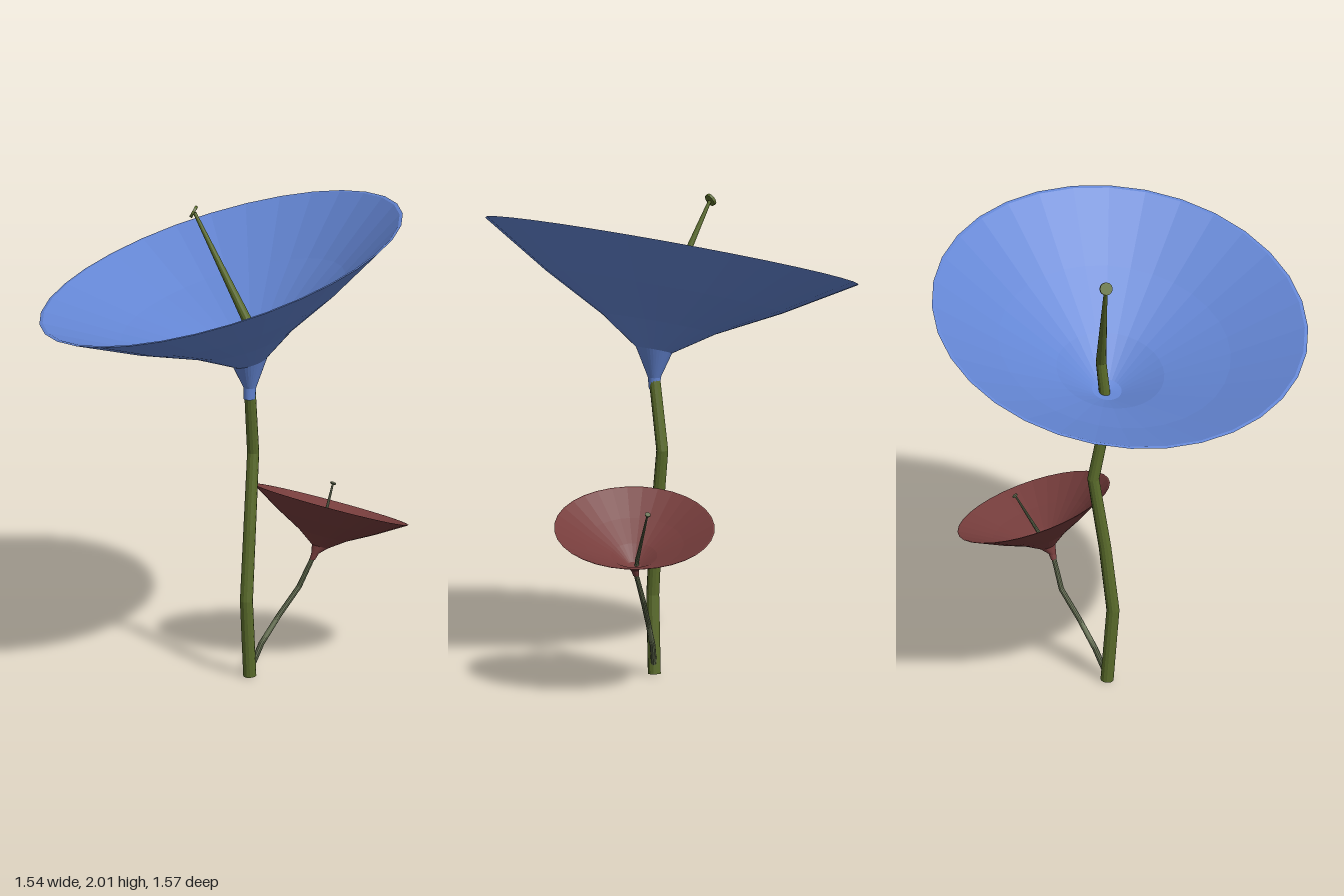
import * as THREE from 'three';

const V = (p) => new THREE.Vector3(...p);

// Skin a row of rings { c: centre, n: normal, r: radius } with flat facets.
function loft(rings, sides) {
  const loops = rings.map(({ c, n, r }) => {
    const u = new THREE.Vector3(1, 0, 0).addScaledVector(n, -n.x).normalize();
    const v = new THREE.Vector3().crossVectors(n, u);
    return Array.from({ length: sides }, (_, j) => {
      const a = (j / sides) * Math.PI * 2;
      return c.clone().addScaledVector(u, r * Math.cos(a)).addScaledVector(v, r * Math.sin(a));
    });
  });
  const pos = [];
  const tri = (a, b, c) => {
    if (a.distanceTo(b) > 1e-6 && b.distanceTo(c) > 1e-6 && a.distanceTo(c) > 1e-6) {
      pos.push(...a.toArray(), ...b.toArray(), ...c.toArray());
    }
  };
  for (let i = 0; i < loops.length - 1; i++) {
    for (let j = 0; j < sides; j++) {
      const k = (j + 1) % sides;
      tri(loops[i][j], loops[i][k], loops[i + 1][k]);
      tri(loops[i][j], loops[i + 1][k], loops[i + 1][j]);
    }
  }
  const g = new THREE.BufferGeometry();
  g.setAttribute('position', new THREE.Float32BufferAttribute(pos, 3));
  g.computeVertexNormals();
  return g;
}

// Tapered stem through points [x, y, z, radius], closed at both ends.
function stemGeometry(points, sides) {
  const cs = points.map((p) => V(p.slice(0, 3)));
  const last = cs.length - 1;
  const rings = cs.map((c, i) => {
    const n = new THREE.Vector3();
    if (i > 0) n.add(c.clone().sub(cs[i - 1]).normalize());
    if (i < last) n.add(cs[i + 1].clone().sub(c).normalize());
    return { c, n: n.normalize(), r: points[i][3] };
  });
  return loft([{ ...rings[0], r: 0 }, ...rings, { ...rings[last], r: 0 }], sides);
}

// Funnel bloom: outer wall, thin lip and inner wall; profile is [depth below rim, radius].
function bloomGeometry({ centre, axis, profile, neck, wall }) {
  const n = V(axis).normalize();
  const at = (depth) => V(centre).addScaledVector(n, -depth);
  const up = new THREE.Vector3(0, 1, 0);
  const outer = [
    ...neck.map((p) => ({ c: V(p.slice(0, 3)), n: up, r: p[3] })),
    ...profile.map(([d, r]) => ({ c: at(d), n, r })),
  ];
  const inner = profile.map(([d, r]) => ({ c: at(d), n, r: r - wall })).reverse();
  const floor = { c: at(profile[0][0] + wall), n, r: 0 };
  return loft([{ ...outer[0], r: 0 }, ...outer, ...inner, floor], 32);
}

// Small disc at the tip of a pistil.
function discGeometry(centre, normal, radius, thick) {
  const n = V(normal).normalize();
  const a = V(centre).addScaledVector(n, -thick / 2);
  const b = V(centre).addScaledVector(n, thick / 2);
  return loft([[a, 0], [a, radius], [b, radius], [b, 0]].map(([c, r]) => ({ c, n, r })), 12);
}

export function createModel() {
  const mat = (name, color) => {
    const m = new THREE.MeshStandardMaterial({ color });
    m.name = name;
    return m;
  };
  const blue = mat('blue petal', 0x6486d4);
  const red = mat('dark red petal', 0x763d3c);
  const olive = mat('olive stem', 0x5a6b2b);
  const sage = mat('grey green stem', 0x667052);

  const model = new THREE.Group();
  model.name = 'flowers';
  const add = (parent, name, geometry, material) => {
    const m = new THREE.Mesh(geometry, material);
    m.name = name;
    parent.add(m);
  };

  // Tall blue flower
  const tall = new THREE.Group();
  tall.name = 'tallFlower';
  add(tall, 'tallStem', stemGeometry([
    [0.1, 0, 0, 0.027], [0.085, 0.33, 0.02, 0.027], [0.1, 0.63, -0.01, 0.026],
    [0.117, 0.95, -0.055, 0.025], [0.1, 1.25, 0, 0.024], [0.105, 1.5, -0.025, 0.022],
    [-0.122, 1.973, -0.118, 0.007],
  ], 12), olive);
  add(tall, 'tallPistilTip', discGeometry([-0.126, 1.977, -0.119], [-0.86, 0.46, -0.2], 0.027, 0.012), olive);
  add(tall, 'blueBloom', bloomGeometry({
    centre: [-0.019, 1.764, 0],
    axis: [-0.289, 0.957, 0],
    profile: [[0.418, 0.076], [0.308, 0.24], [0.172, 0.5], [0, 0.787]],
    neck: [[0.098, 1.2, 0, 0.024], [0.1, 1.25, 0, 0.027]],
    wall: 0.014,
  }), blue);

  // Short red flower
  const short = new THREE.Group();
  short.name = 'shortFlower';
  add(short, 'shortStem', stemGeometry([
    [0.1, 0.02, 0, 0.012], [0.15, 0.13, -0.03, 0.012], [0.225, 0.24, -0.065, 0.011],
    [0.31, 0.35, -0.105, 0.011], [0.366, 0.47, -0.112, 0.01], [0.395, 0.54, -0.14, 0.009],
    [0.458, 0.75, -0.243, 0.004],
  ], 10), sage);
  add(short, 'shortPistilTip', discGeometry([0.459, 0.752, -0.245], [0.35, 0.8, -0.5], 0.012, 0.006), sage);
  add(short, 'redBloom', bloomGeometry({
    centre: [0.446, 0.685, -0.165],
    axis: [0.27, 0.937, -0.22],
    profile: [[0.18, 0.034], [0.132, 0.102], [0.074, 0.21], [0, 0.333]],
    neck: [[0.366, 0.465, -0.112, 0.012], [0.377, 0.49, -0.114, 0.016]],
    wall: 0.006,
  }), red);

  model.add(tall, short);
  return model;
}
